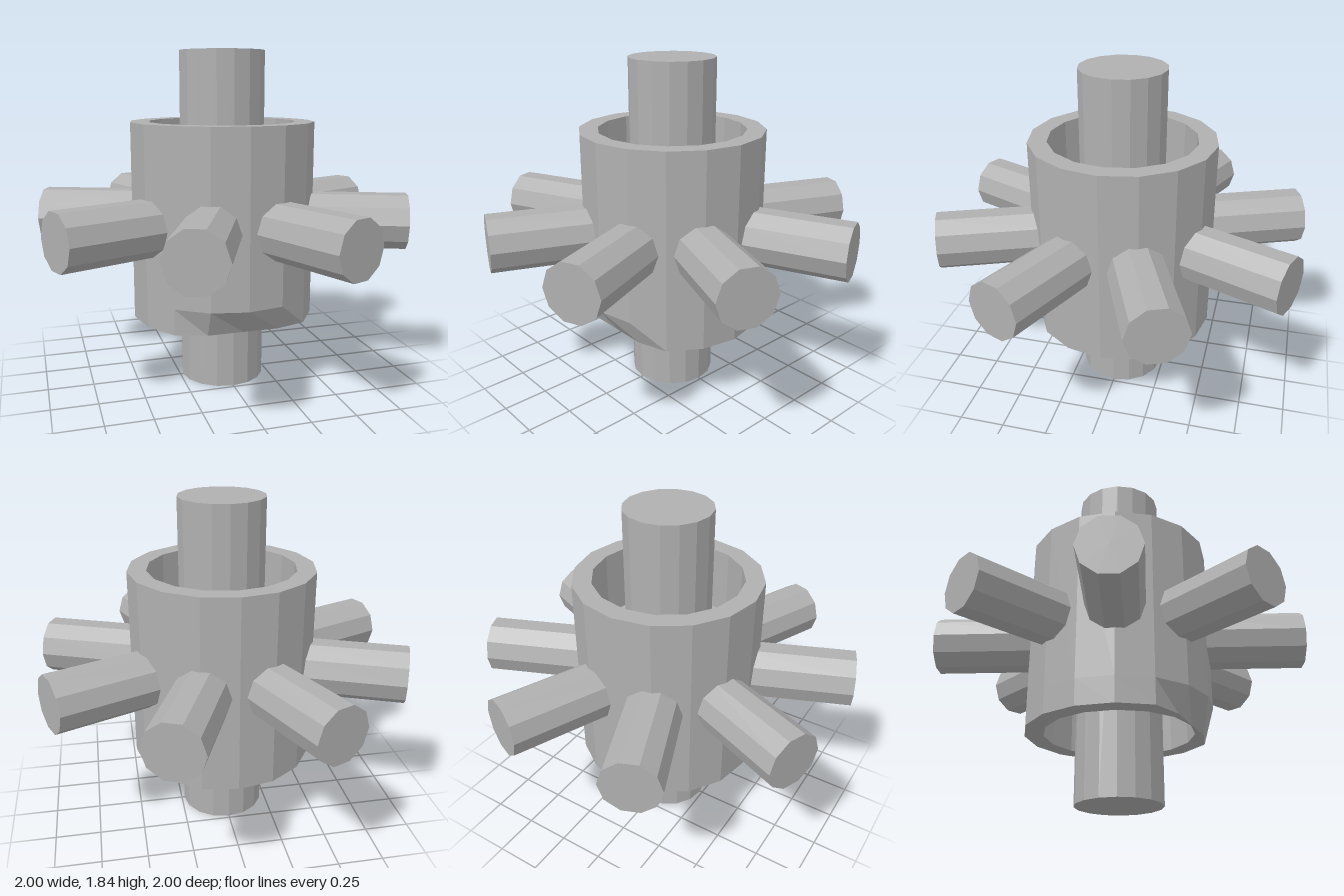
import * as THREE from 'three';

const SIDES = 16;

export function createModel() {
  const model = new THREE.Group();
  model.name = 'spokedHub';
  const grey = new THREE.MeshStandardMaterial({ color: 0xb0b0b0, flatShading: true });
  grey.name = 'grey';

  const add = (name, geometry) => {
    const mesh = new THREE.Mesh(geometry, grey);
    mesh.name = name;
    model.add(mesh);
    return mesh;
  };

  // Central shaft through the whole height
  add('shaft', new THREE.CylinderGeometry(0.234, 0.234, 1.84, SIDES)).position.y = 0.92;

  // Drum wall, recessed at both ends around a middle web
  const profile = [
    [0.2, 0.74], [0.405, 0.74], [0.405, 0.38], [0.508, 0.38],
    [0.508, 0.52], [0.508, 1.46], [0.405, 1.46], [0.405, 1.1], [0.2, 1.1],
  ].map(([r, y]) => new THREE.Vector2(r, y));
  const drum = new THREE.LatheGeometry(profile, SIDES);

  // Chip the lower front edge back to a flat chamfer
  const p = drum.attributes.position;
  for (let i = 0; i < p.count; i++) {
    if (p.getY(i) < 0.4 && p.getZ(i) > 0.41) p.setZ(i, 0.41);
  }
  add('drum', drum);

  // Eight radial spokes
  const inner = 0.42, outer = 1.02;
  const spoke = new THREE.CylinderGeometry(0.156, 0.156, outer - inner, 10);
  spoke.rotateY(Math.PI / 10); // flat faces at top and bottom
  spoke.rotateX(Math.PI / 2);
  spoke.translate(0, 0, (inner + outer) / 2);
  for (let i = 0; i < 8; i++) {
    const mesh = add('spoke' + (i + 1), spoke);
    mesh.position.y = 0.92;
    mesh.rotation.y = (i + 0.5) * Math.PI / 4;
  }
  return model;
}
